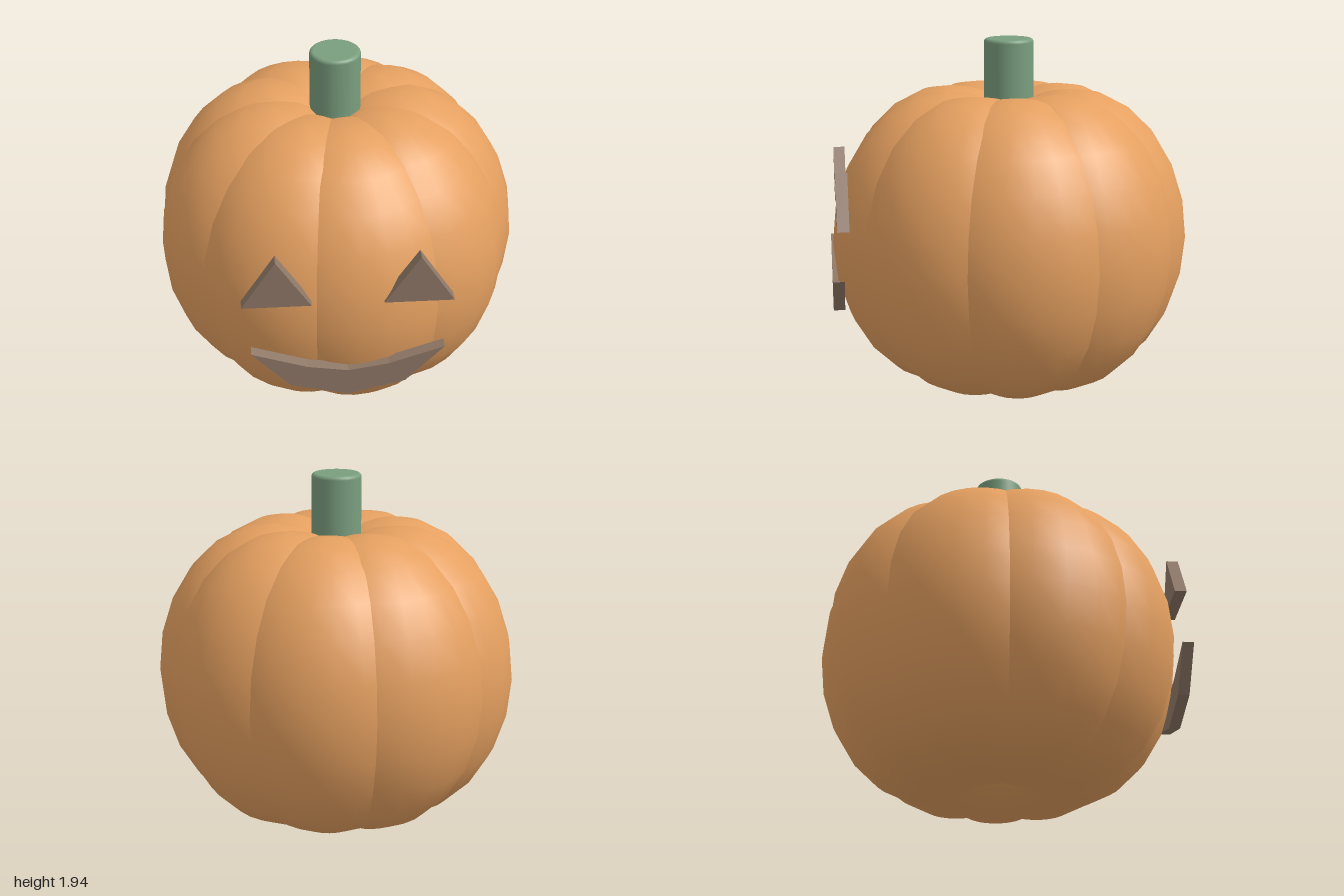
import * as THREE from 'three';

const paint = (color) => new THREE.MeshStandardMaterial({ color });

// Flat plate cut from an outline, with its back at depth z
function plate(name, points, z, depth, material) {
  const shape = new THREE.Shape(points.map(([x, y]) => new THREE.Vector2(x, y)));
  const mesh = new THREE.Mesh(
    new THREE.ExtrudeGeometry(shape, { depth, bevelEnabled: false }), material);
  mesh.position.z = z;
  mesh.name = name;
  return mesh;
}

export function createModel() {
  const model = new THREE.Group();
  model.name = 'pumpkin';
  const orange = paint(0xe5a060);
  const green = paint(0x7a9e7e);
  const brown = paint(0x8f7866);

  // Body: nine overlapping tall lobes in a ring
  const body = new THREE.Group();
  body.name = 'body';
  const lobeGeometry = new THREE.SphereGeometry(0.65, 24, 12);
  lobeGeometry.scale(1, 0.83 / 0.65, 1);
  for (let i = 0; i < 9; i++) {
    const a = (i / 9) * Math.PI * 2;
    const lobe = new THREE.Mesh(lobeGeometry, orange);
    lobe.position.set(0.35 * Math.cos(a), 0.83, 0.35 * Math.sin(a));
    lobe.name = 'lobe';
    body.add(lobe);
  }
  model.add(body);

  // Stem: cylinder with a softly rounded rim
  const R = 0.137, rim = 0.02, top = 1.94;
  const profile = [[0, 1.4], [R, 1.4], [R, 1.4], [R, 1.41]];
  for (let i = 0; i <= 4; i++) {
    const a = (i / 4) * Math.PI / 2;
    profile.push([R - rim + rim * Math.cos(a), top - rim + rim * Math.sin(a)]);
  }
  profile.push([R - rim - 0.005, top], [0, top]);
  const stem = new THREE.Mesh(
    new THREE.LatheGeometry(profile.map(([x, y]) => new THREE.Vector2(x, y)), 32), green);
  stem.name = 'stem';
  model.add(stem);

  // Face: two triangular eyes and a curved smile
  for (const side of [-1, 1]) {
    const cx = side * 0.363;
    model.add(plate(side > 0 ? 'leftEye' : 'rightEye',
      [[cx - 0.178, 1.01], [cx + 0.178, 1.01], [cx, 1.285]], 0.91, 0.064, brown));
  }
  model.add(plate('mouth', [
    [-0.5, 0.73], [-0.3, 0.51], [0, 0.433], [0.3, 0.51], [0.5, 0.73],
    [0.21, 0.63], [0, 0.595], [-0.21, 0.63],
  ], 0.942, 0.062, brown));

  // Centre the whole on the ground
  for (const part of model.children) {
    part.position.x -= 0.011;
    part.position.z -= 0.004;
  }
  return model;
}
